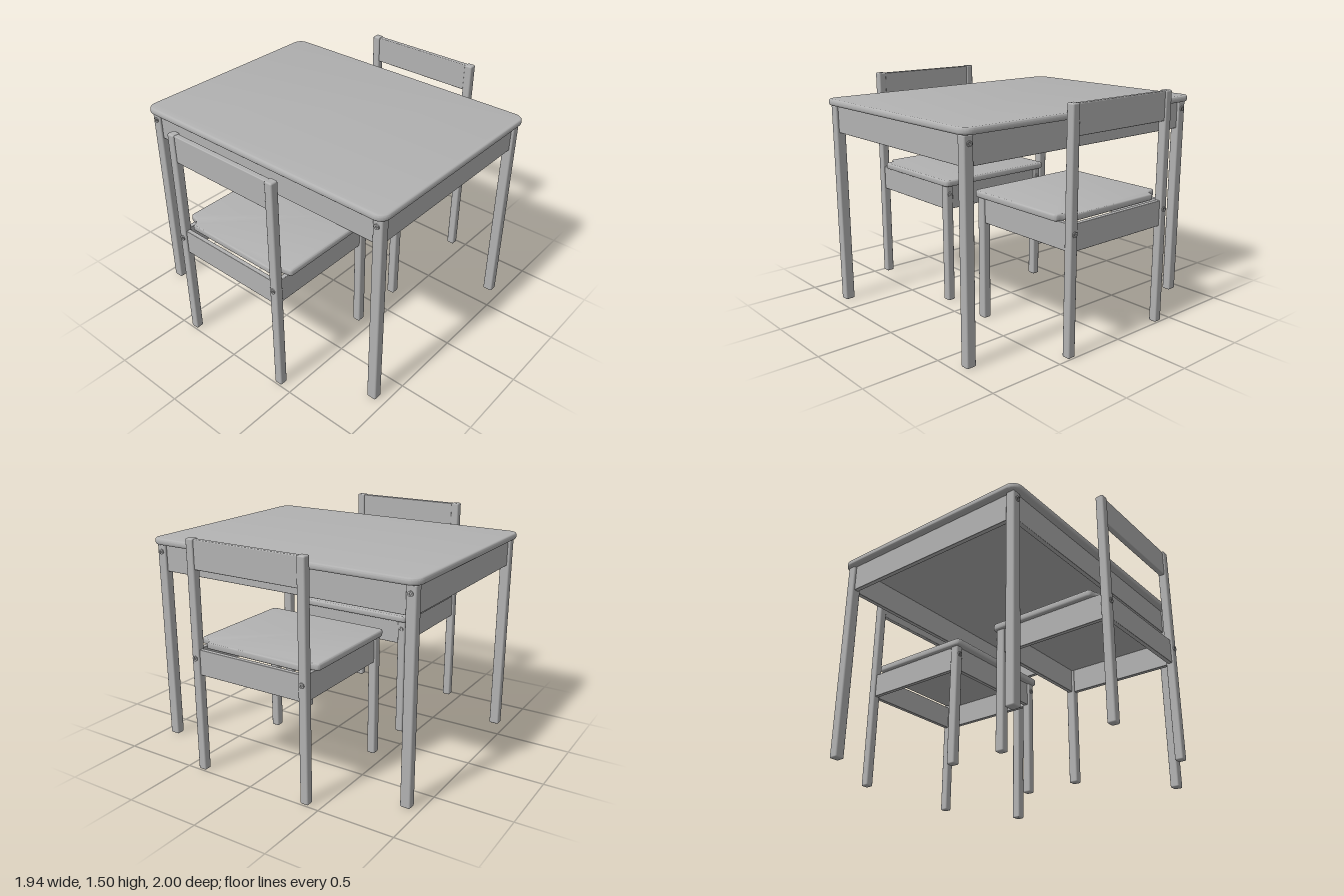
import * as THREE from 'three';
import { toCreasedNormals } from 'three/addons/utils/BufferGeometryUtils.js';
import { RoundedBoxGeometry } from 'three/addons/geometries/RoundedBoxGeometry.js';

const paint = new THREE.MeshStandardMaterial({ color: 0xb2b2b2 });
paint.name = 'greyPaint';

function add(parent, name, geometry, x = 0, y = 0, z = 0) {
  const mesh = new THREE.Mesh(geometry, paint);
  mesh.name = name;
  mesh.position.set(x, y, z);
  parent.add(mesh);
  return mesh;
}

// Softened bar given by its centre, its size and its bottom height
function bar(parent, name, w, h, d, x, bottom, z, radius = 0.008) {
  return add(parent, name, new RoundedBoxGeometry(w, h, d, 2, radius), x, bottom + h / 2, z);
}

// Horizontal board with rounded rims; the outline is drawn in x and z
function board(parent, name, outline, bottom, top, bevel) {
  const geometry = new THREE.ExtrudeGeometry(outline, {
    depth: top - bottom - 2 * bevel, bevelThickness: bevel, bevelSize: bevel,
    bevelOffset: -bevel, bevelSegments: 3, curveSegments: 10,
  });
  geometry.rotateX(Math.PI / 2);
  return add(parent, name, toCreasedNormals(geometry, 0.6), 0, top - bevel, 0);
}

// Round bolt head with a hexagonal socket, facing +z or -z
function bolt(parent, x, y, z, side) {
  const head = new THREE.Shape().absarc(0, 0, 0.017, 0, Math.PI * 2);
  const socket = new THREE.Path();
  for (let i = 0; i <= 6; i++) {
    const a = -i * Math.PI / 3;
    socket[i ? 'lineTo' : 'moveTo'](0.008 * Math.cos(a), 0.008 * Math.sin(a));
  }
  head.holes.push(socket);
  const geometry = new THREE.ExtrudeGeometry(head, { depth: 0.008, bevelEnabled: false, curveSegments: 10 });
  const mesh = add(parent, 'bolt', toCreasedNormals(geometry, 0.8), x, y, z - side * 0.001);
  if (side < 0) mesh.rotation.y = Math.PI;
}

function createTable() {
  const table = new THREE.Group();
  table.name = 'table';

  // Table top
  const w = 0.968, d = 0.736, r = 0.07;
  const outline = new THREE.Shape();
  outline.absarc(w - r, d - r, r, 0, Math.PI / 2);
  outline.absarc(r - w, d - r, r, Math.PI / 2, Math.PI);
  outline.absarc(r - w, r - d, r, Math.PI, Math.PI * 1.5);
  outline.absarc(w - r, r - d, r, Math.PI * 1.5, Math.PI * 2);
  board(table, 'tableTop', outline, 1.349, 1.392, 0.014);

  // Legs, bolts and aprons
  for (const s of [-1, 1]) {
    for (const t of [-1, 1]) {
      bar(table, 'tableLeg', 0.066, 1.35, 0.06, s * 0.91, 0, t * 0.676, 0.01);
      bolt(table, s * 0.908, 1.3, t * 0.706, t);
    }
    bar(table, 'longApron', 1.76, 0.18, 0.032, 0, 1.17, s * 0.676, 0.004);
    bar(table, 'shortApron', 0.032, 0.18, 1.3, s * 0.91, 1.17, 0, 0.004);
  }
  return table;
}

// Chair with its back towards +z
function createChair() {
  const chair = new THREE.Group();
  chair.name = 'chair';
  const legX = 0.395, backZ = 0.966, frontZ = 0.194;

  // Seat, notched around the back posts
  const seat = new THREE.Shape();
  seat.moveTo(-0.4, 0.143);
  seat.lineTo(0.4, 0.143);
  seat.quadraticCurveTo(0.437, 0.143, 0.437, 0.18);
  seat.lineTo(0.437, 0.86);
  seat.quadraticCurveTo(0.437, 0.882, 0.41, 0.884);
  seat.quadraticCurveTo(0.35, 0.89, 0.34, 0.943);
  seat.lineTo(-0.34, 0.943);
  seat.quadraticCurveTo(-0.35, 0.89, -0.41, 0.884);
  seat.quadraticCurveTo(-0.437, 0.882, -0.437, 0.86);
  seat.lineTo(-0.437, 0.18);
  seat.quadraticCurveTo(-0.437, 0.143, -0.4, 0.143);
  board(chair, 'seat', seat, 0.813, 0.856, 0.01);

  // Legs, posts, side aprons and bolts
  for (const s of [-1, 1]) {
    bar(chair, 'backPost', 0.055, 1.498, 0.054, s * legX, 0, backZ, 0.01);
    bar(chair, 'frontLeg', 0.055, 0.814, 0.058, s * legX, 0, frontZ, 0.01);
    bar(chair, 'sideApron', 0.03, 0.165, 0.73, s * legX, 0.649, 0.58, 0.004);
    bolt(chair, s * legX, 0.757, backZ + 0.027, 1);
    bolt(chair, s * legX, 0.757, frontZ - 0.029, -1);
  }

  // Cross aprons and backrest
  bar(chair, 'backApron', 0.75, 0.165, 0.03, 0, 0.649, backZ, 0.004);
  bar(chair, 'frontApron', 0.75, 0.165, 0.03, 0, 0.649, frontZ, 0.004);
  bar(chair, 'backrest', 0.75, 0.182, 0.036, 0, 1.312, backZ, 0.006);
  return chair;
}

export function createModel() {
  const model = new THREE.Group();
  model.name = 'tableAndChairs';
  const frontChair = createChair();
  const rearChair = createChair();
  frontChair.name = 'frontChair';
  rearChair.name = 'rearChair';
  rearChair.rotation.y = Math.PI;
  model.add(createTable(), frontChair, rearChair);
  return model;
}
